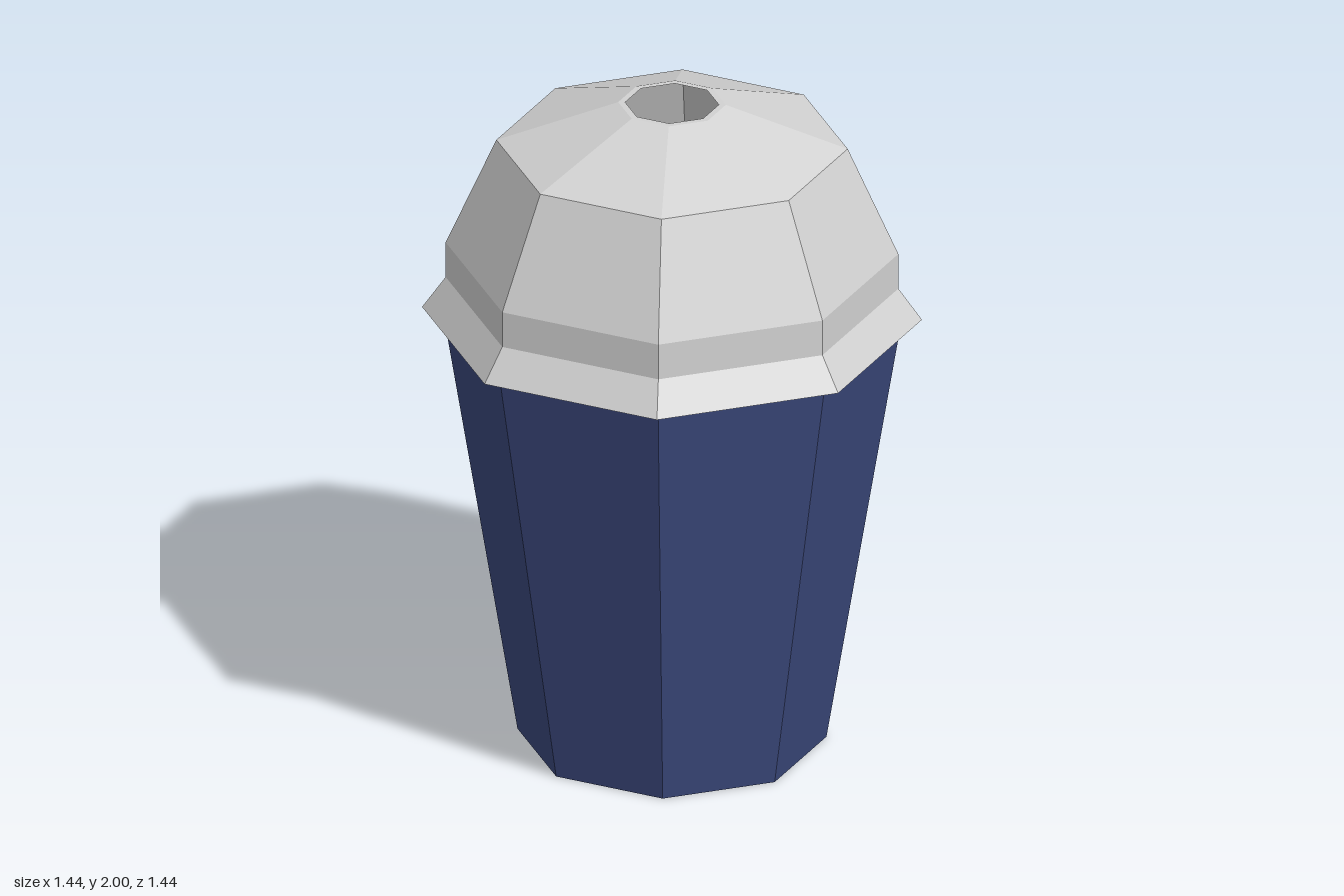
import * as THREE from 'three';

const SIDES = 8;

export function createModel() {
  const model = new THREE.Group();
  model.name = 'lidded cup';

  const cupBlue = new THREE.MeshStandardMaterial({ color: 0x3b487c, flatShading: true });
  cupBlue.name = 'cup blue';
  const lidGrey = new THREE.MeshStandardMaterial({ color: 0xd2d2d2, flatShading: true, side: THREE.DoubleSide });
  lidGrey.name = 'lid grey';

  // Adds one eight-sided part with a corner on each axis
  function addPart(name, geometry, material) {
    const mesh = new THREE.Mesh(geometry, material);
    mesh.name = name;
    model.add(mesh);
    return mesh;
  }

  // Tapered cup, closed at both ends
  const cup = addPart('cup', new THREE.CylinderGeometry(0.66, 0.445, 1.32, SIDES), cupBlue);
  cup.position.y = 0.66;

  // Hollow domed lid: base, flared rim, straight band, shoulder, roof and straw hole
  const profile = [
    [0, 1.333], [0.72, 1.333], [0.652, 1.43], [0.652, 1.54],
    [0.506, 1.87], [0.155, 2], [0.135, 2],
  ].map(([r, y]) => new THREE.Vector2(r, y));
  addPart('lid', new THREE.LatheGeometry(profile, SIDES).toNonIndexed(), lidGrey);

  return model;
}
